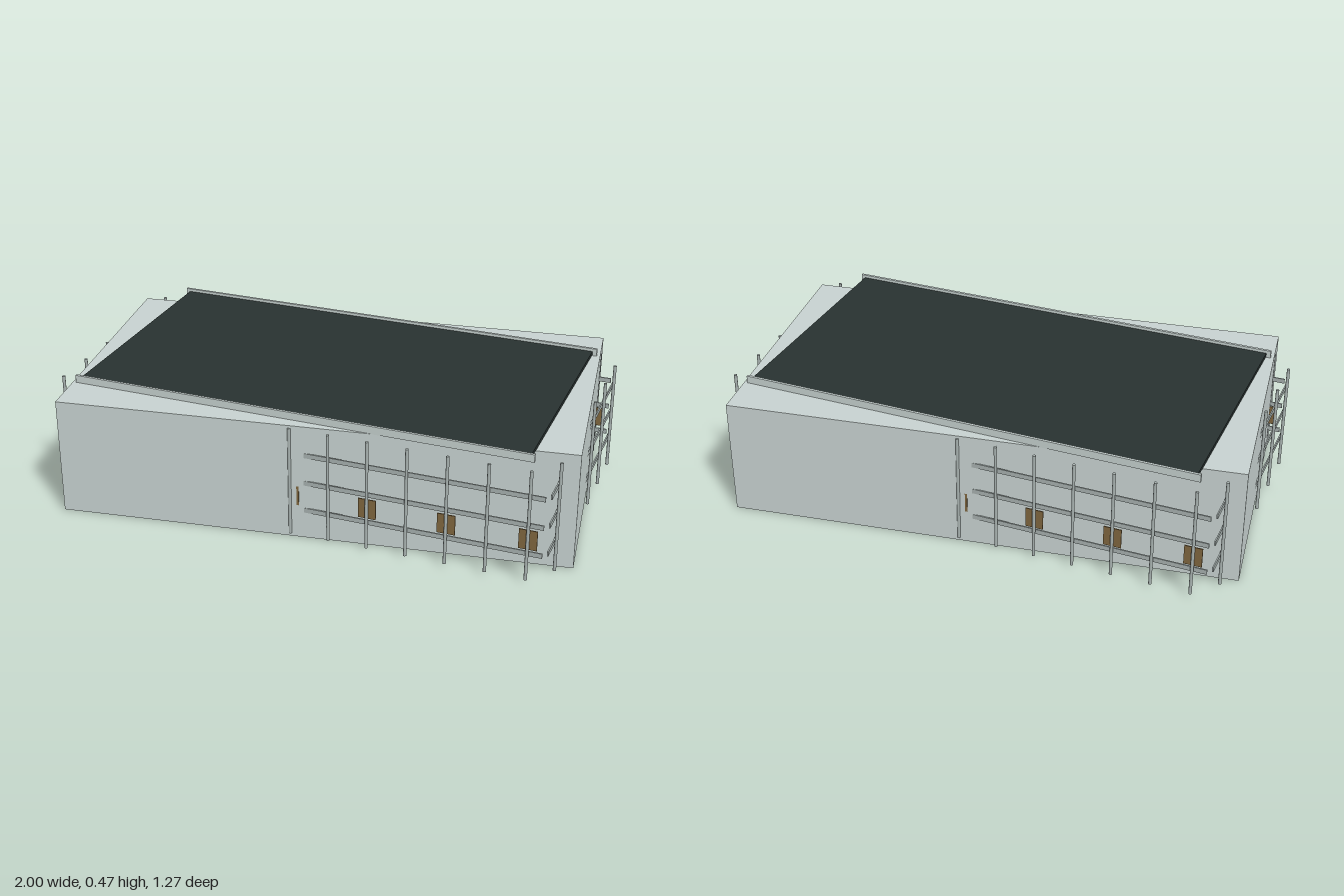
import * as THREE from 'three';

const material = (name, color) => {
  const m = new THREE.MeshStandardMaterial({ color });
  m.name = name;
  return m;
};

export function createModel() {
  const wallGrey = material('wall grey', 0xc6d1cf);
  const steel = material('steel grey', 0xa8b2b0);
  const roofDark = material('roof dark', 0x283130);
  const wood = material('wood brown', 0x80673f);

  const model = new THREE.Group();
  model.name = 'building';

  const box = (parent, name, mat, w, h, d, x, y, z) => {
    const mesh = new THREE.Mesh(new THREE.BoxGeometry(w, h, d), mat);
    mesh.name = name;
    mesh.position.set(x, y, z);
    parent.add(mesh);
  };

  // Main block, square to the axes
  box(model, 'mainBlock', wallGrey, 1.864, 0.44, 1.0, 0, 0.22, 0);

  // Everything else is turned slightly about the vertical axis
  const turned = new THREE.Group();
  turned.name = 'turnedFrame';
  turned.rotation.y = -0.148;
  model.add(turned);

  // Roof panel and the long parapets beside it
  box(turned, 'roofPanel', roofDark, 1.69, 0.014, 0.9, 0, 0.451, 0);
  for (const s of [-1, 1]) {
    box(turned, 'parapet', wallGrey, 1.722, 0.029, 0.01, 0, 0.4535, s * 0.457);
  }

  const postShape = new THREE.CylinderGeometry(0.006, 0.006, 0.418, 8);
  const post = (x, z) => {
    const mesh = new THREE.Mesh(postShape, steel);
    mesh.name = 'post';
    mesh.position.set(x, 0.221, z);
    turned.add(mesh);
  };

  for (const s of [-1, 1]) {
    // Horizontal rails on the long and short sides
    for (const y of [0.11, 0.219, 0.328]) {
      box(turned, 'longRail', steel, 1.83, 0.018, 0.005, 0, y, s * 0.4955);
      box(turned, 'shortRail', steel, 0.005, 0.018, 0.95, s * 0.929, y, 0);
    }
    // Long side posts, with a thin wooden plate at every second one
    for (let i = -6; i <= 6; i++) {
      post(i * 0.144, s * 0.5055);
      if (i % 2 === 0) {
        box(turned, 'woodPlate', wood, 0.065, 0.075, 0.004, i * 0.144, 0.166, s * 0.5);
      }
    }
    // Short side posts
    for (let i = -2.5; i <= 2.5; i++) post(s * 0.942, i * 0.165);
  }

  return model;
}
